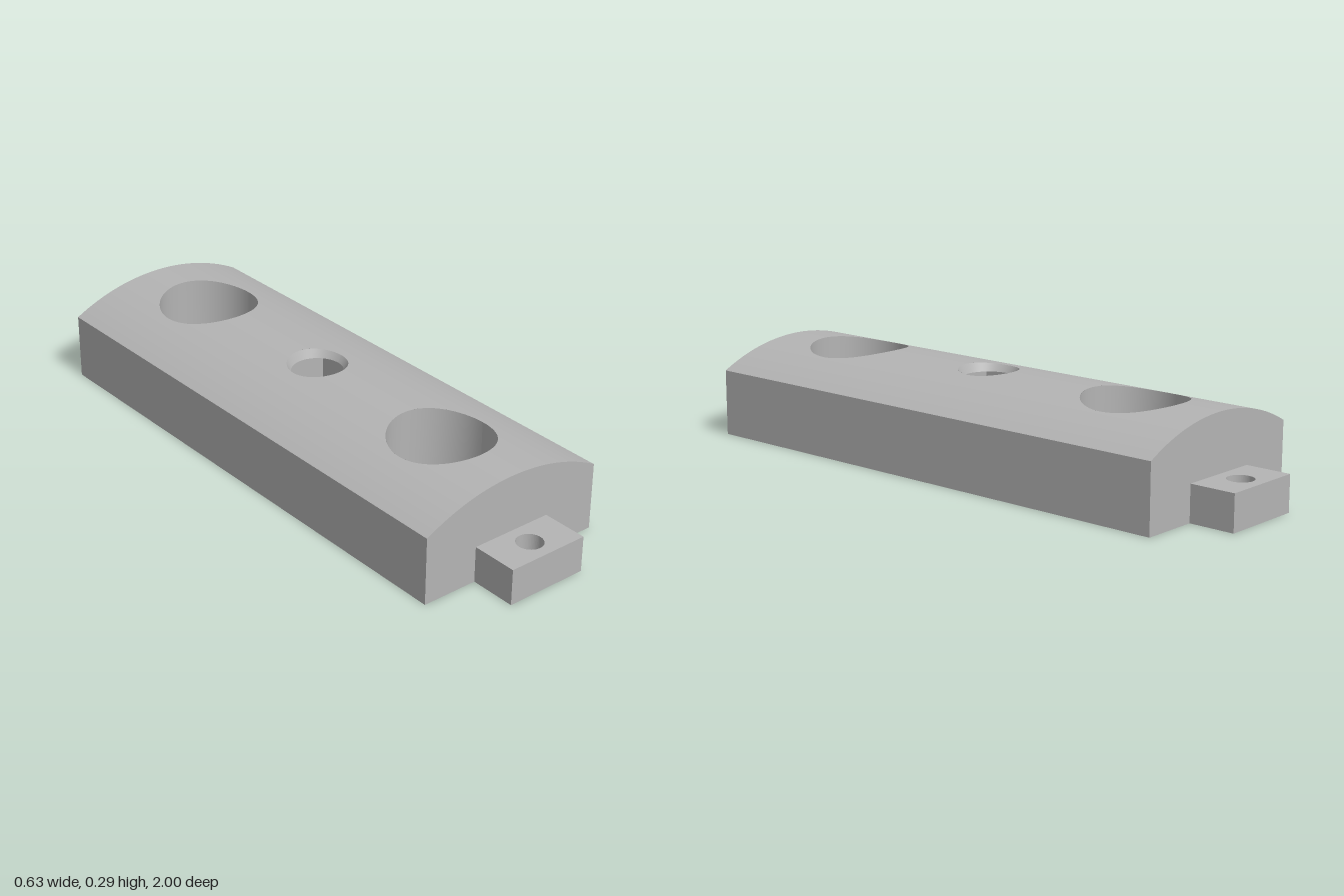
import * as THREE from 'three';

const W = 0.313, L = 0.855, SIDE = 0.21, CROWN = 0.29;   // body half width, half length, heights
const R = (W * W + (CROWN - SIDE) ** 2) / (2 * (CROWN - SIDE));
const topY = x => CROWN - R + Math.sqrt(R * R - x * x);
const BIG = 0.158, BIG_Z = 0.56, RIM = 0.093, NECK = 0.08; // hole radii
const LEDGE = 0.035, FLOOR = 0.075, CEIL = 0.262, SQ = 0.105;
const SEG = 64;

export function createModel() {
  const group = new THREE.Group();
  const grey = new THREE.MeshStandardMaterial({ color: 0xb4b4b4, side: THREE.DoubleSide });

  const add = (name, geo) => {
    const mesh = new THREE.Mesh(geo, grey);
    mesh.name = name;
    group.add(mesh);
    return mesh;
  };

  // Surface spanned between two point rows of equal length
  const ribbon = (a, b, smooth = true) => {
    const n = a.length, index = [];
    for (let i = 0; i < n - 1; i++) index.push(i, i + 1, n + i + 1, i, n + i + 1, n + i);
    let geo = new THREE.BufferGeometry().setFromPoints([...a, ...b]);
    geo.setIndex(index);
    if (!smooth) geo = geo.toNonIndexed();
    geo.computeVertexNormals();
    return geo;
  };

  // Closed rows: circle and rectangle in plan
  const ring = (r, z, yAt) => Array.from({ length: SEG + 1 }, (_, i) => {
    const t = i / SEG * Math.PI * 2, x = r * Math.cos(t);
    return new THREE.Vector3(x, yAt(x), z + r * Math.sin(t));
  });
  const rect = (w, l, y) => [[w, -l], [w, l], [-w, l], [-w, -l], [w, -l]]
    .map(([x, z]) => new THREE.Vector3(x, y, z));

  // Downward facing plate at height y, with holes
  const rectPath = (w, l, P = THREE.Path) => new P(rect(w, l, 0).slice(0, 4).map(p => new THREE.Vector2(p.x, p.z)));
  const circlePath = (r, z) => new THREE.Path(ring(r, z, () => 0).slice(0, SEG).map(p => new THREE.Vector2(p.x, p.z)));
  const plate = (name, w, l, y, holes) => {
    const s = rectPath(w, l, THREE.Shape);
    s.holes.push(...holes);
    add(name, new THREE.ShapeGeometry(s).rotateX(Math.PI / 2).translate(0, y, 0));
  };

  // Arched top: four ribbons that part around the three holes
  const xs = [];
  for (let i = 0; i <= 32; i++) xs.push(-W + 2 * W * i / 32);
  for (const r of [BIG, RIM]) for (let i = 0; i <= SEG / 2; i++) xs.push(r * Math.cos(i / SEG * Math.PI * 2));
  xs.sort((a, b) => a - b);
  const row = zAt => xs.filter((x, i) => i === 0 || x - xs[i - 1] > 1e-5)
    .map(x => new THREE.Vector3(x, topY(x), zAt(x)));
  const half = r => x => Math.sqrt(Math.max(0, r * r - x * x));
  const hb = half(BIG), hc = half(RIM);
  const spans = [
    [() => L, x => BIG_Z + hb(x)],
    [x => BIG_Z - hb(x), hc],
    [x => -hc(x), x => -BIG_Z + hb(x)],
    [x => -BIG_Z - hb(x), () => -L],
  ];
  for (const [front, back] of spans) {
    const geo = ribbon(row(front), row(back));
    const p = geo.attributes.position, nrm = geo.attributes.normal;
    for (let i = 0; i < p.count; i++) nrm.setXYZ(i, p.getX(i) / R, (p.getY(i) - CROWN + R) / R, 0);
    add('archedTop', geo);
  }

  // End faces and long sides
  const profile = new THREE.Shape([
    new THREE.Vector2(-W, 0), new THREE.Vector2(W, 0),
    ...row(() => 0).reverse().map(p => new THREE.Vector2(p.x, p.y)),
  ]);
  for (const s of [1, -1]) {
    const turn = s > 0 ? 0 : Math.PI;
    add('endFace', new THREE.ShapeGeometry(profile).translate(0, 0, L).rotateY(turn));
    add('longSide', new THREE.PlaneGeometry(2 * L, SIDE).translate(0, SIDE / 2, W).rotateY(s * Math.PI / 2));
  }

  // Stepped recess underneath
  const w1 = W - 0.035, l1 = L - 0.035, w2 = W - 0.055, l2 = L - 0.055;
  plate('bottomRim', W, L, 0, [rectPath(w1, l1)]);
  add('outerStepWall', ribbon(rect(w1, l1, 0), rect(w1, l1, LEDGE), false));
  plate('recessLedge', w1, l1, LEDGE, [rectPath(w2, l2)]);
  add('innerStepWall', ribbon(rect(w2, l2, LEDGE), rect(w2, l2, FLOOR), false));
  plate('recessFloor', w2, l2, FLOOR, [circlePath(BIG, BIG_Z), circlePath(BIG, -BIG_Z), rectPath(SQ, SQ)]);

  // Large through holes
  for (const s of [1, -1])
    add('largeHoleWall', ribbon(ring(BIG, s * BIG_Z, () => FLOOR), ring(BIG, s * BIG_Z, topY)));

  // Centre hole: square pocket below, tapered round mouth above
  add('squarePocketWall', ribbon(rect(SQ, SQ, FLOOR), rect(SQ, SQ, CEIL), false));
  plate('squarePocketCeiling', SQ, SQ, CEIL, [circlePath(NECK, 0)]);
  add('centreHoleChamfer', ribbon(ring(NECK, 0, () => CEIL), ring(RIM, 0, topY)));

  // Drilled mounting tabs at both ends
  const tabShape = new THREE.Shape([[-0.133, L], [0.133, L], [0.133, 1], [-0.133, 1]].map(p => new THREE.Vector2(...p)));
  tabShape.holes.push(circlePath(0.04, 0.927));
  for (const s of [1, -1]) {
    const geo = new THREE.ExtrudeGeometry(tabShape, { depth: 0.112, bevelEnabled: false });
    add('mountingTab', geo.rotateX(Math.PI / 2).translate(0, 0.112, 0).rotateY(s > 0 ? 0 : Math.PI));
  }
  return group;
}
